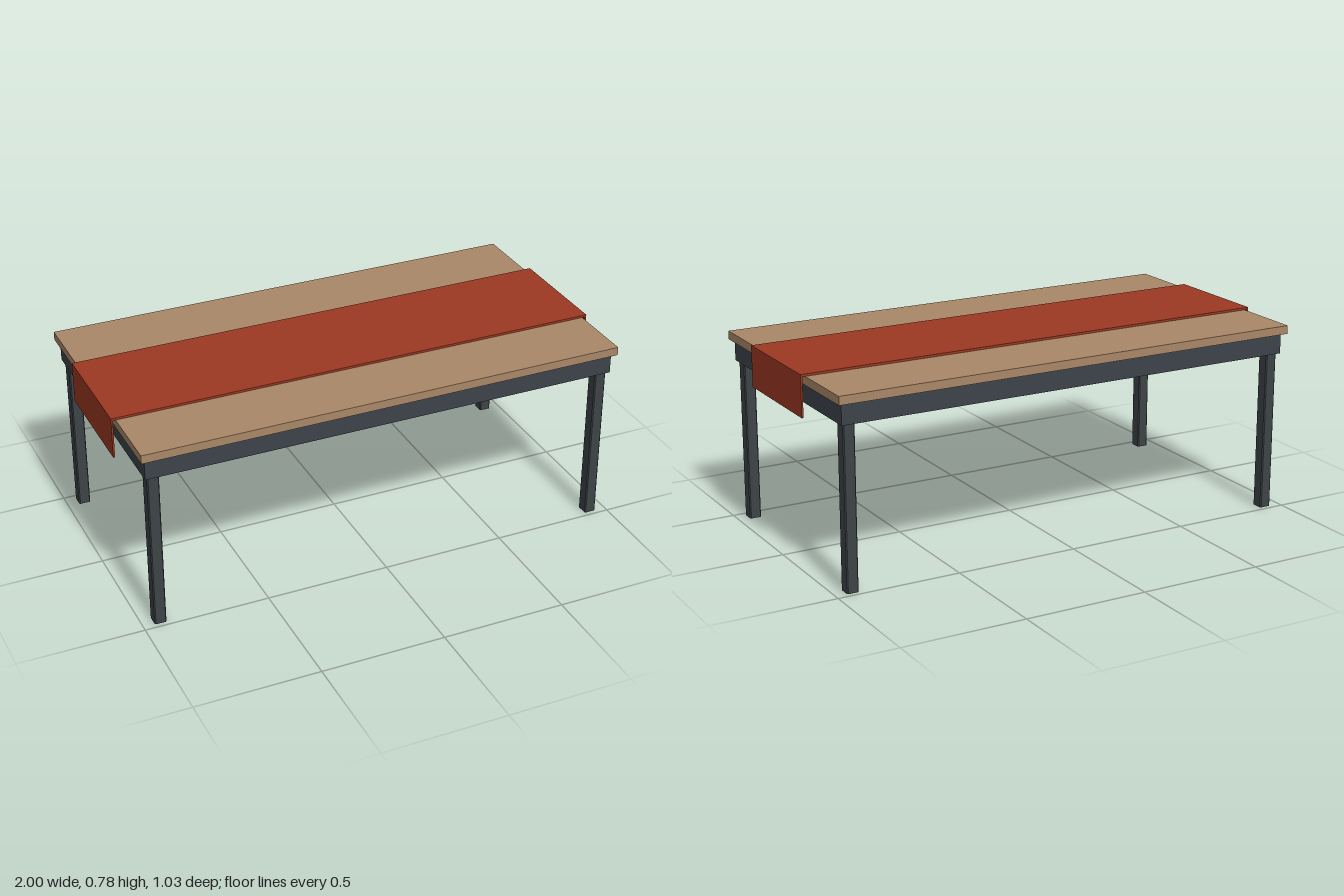
import * as THREE from 'three';

const material = (name, color) => {
  const m = new THREE.MeshStandardMaterial({ color });
  m.name = name;
  return m;
};

export function createModel() {
  const wood = material('tan wood', 0xa98767);
  const apronPaint = material('dark slate', 0x3d424a);
  const legPaint = material('dark grey', 0x3d4447);
  const cloth = material('rust cloth', 0x9c3922);

  const table = new THREE.Group();
  table.name = 'table';

  // Box given by its lower and upper corners
  const box = (name, mat, [x0, y0, z0], [x1, y1, z1]) => {
    const mesh = new THREE.Mesh(new THREE.BoxGeometry(x1 - x0, y1 - y0, z1 - z0), mat);
    mesh.position.set((x0 + x1) / 2, (y0 + y1) / 2, (z0 + z1) / 2);
    mesh.name = name;
    table.add(mesh);
  };

  box('tableTop', wood, [-0.982, 0.733, -0.513], [0.982, 0.767, 0.513]);
  box('apron', apronPaint, [-0.965, 0.65, -0.493], [0.965, 0.733, 0.493]);

  // Runner lies slightly towards the front, with a drop at each end
  box('runner', cloth, [-1, 0.767, -0.224], [1, 0.776, 0.238]);
  for (const s of [-1, 1]) {
    const inner = s * 0.993, outer = s;
    box(s > 0 ? 'leftRunnerDrop' : 'rightRunnerDrop', cloth,
      [Math.min(inner, outer), 0.61, -0.224], [Math.max(inner, outer), 0.767, 0.238]);
  }

  // Legs: rectangular posts with narrow chamfers
  const w = 0.0235, d = 0.0255, c = 0.004, height = 0.65;
  const section = new THREE.Shape([
    [w, -d + c], [w, d - c], [w - c, d], [-w + c, d],
    [-w, d - c], [-w, -d + c], [-w + c, -d], [w - c, -d],
  ].map(([x, y]) => new THREE.Vector2(x, y)));
  const legGeometry = new THREE.ExtrudeGeometry(section, { depth: height, bevelEnabled: false });
  legGeometry.rotateX(-Math.PI / 2);
  for (const sx of [-1, 1]) {
    for (const sz of [-1, 1]) {
      const leg = new THREE.Mesh(legGeometry, legPaint);
      leg.name = (sz > 0 ? 'front' : 'back') + (sx > 0 ? 'Left' : 'Right') + 'Leg';
      leg.position.set(sx * 0.931, 0, sz * 0.456);
      table.add(leg);
    }
  }
  return table;
}
